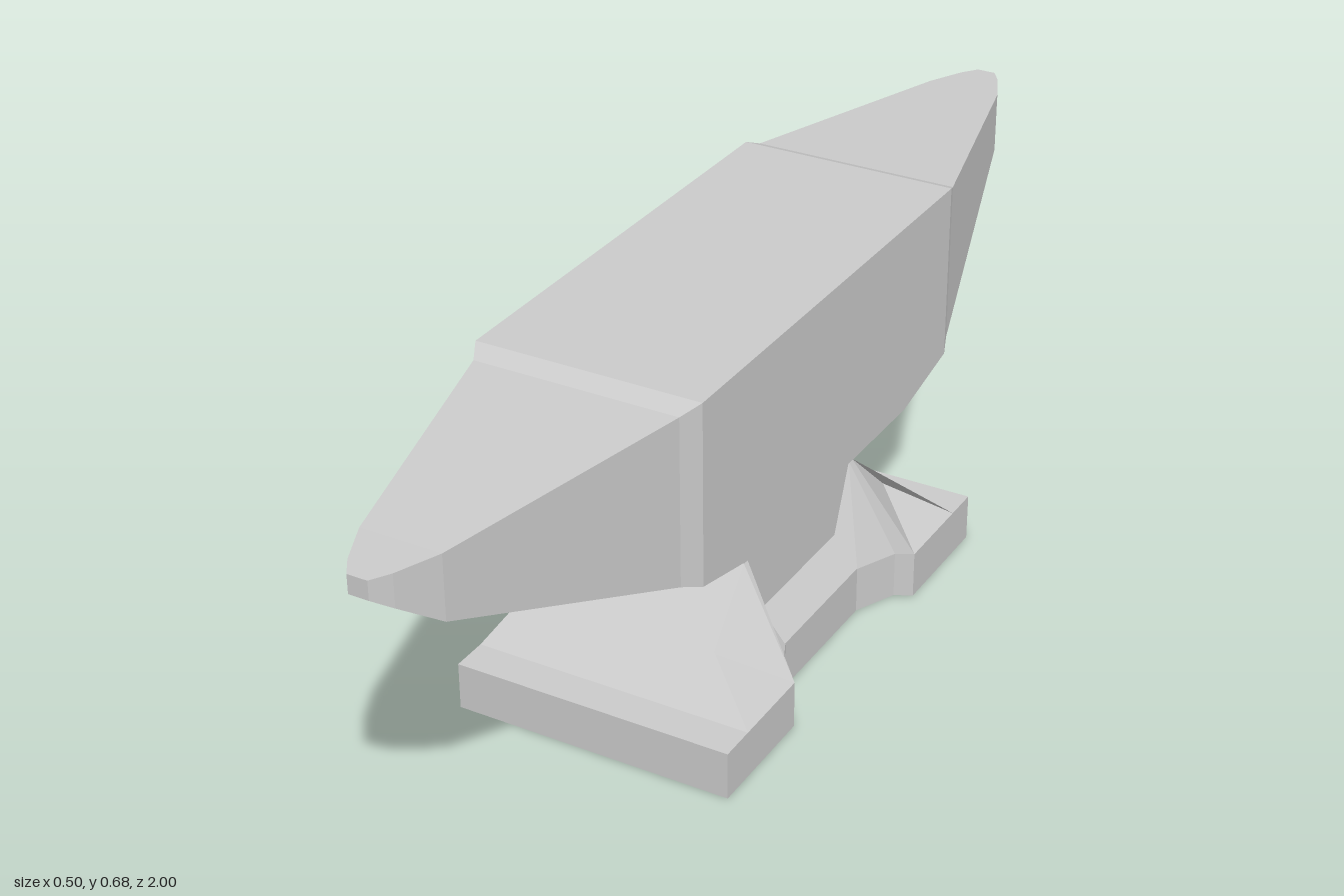
import * as THREE from 'three';

const grey = () => new THREE.MeshStandardMaterial({ color: 0xcccccc, flatShading: true });

// Turn a list of convex polygons (arrays of [x, y, z]) into a faceted geometry
function facets(polygons) {
  const pos = [];
  for (const p of polygons)
    for (let i = 1; i < p.length - 1; i++) pos.push(...p[0], ...p[i], ...p[i + 1]);
  const g = new THREE.BufferGeometry();
  g.setAttribute('position', new THREE.Float32BufferAttribute(pos, 3));
  g.computeVertexNormals();
  return g;
}

// Skin a row of rings, each counter-clockwise seen from the far end, and cap both ends
function loft(rings) {
  const polys = [[...rings[0]].reverse(), rings[rings.length - 1]];
  for (let r = 0; r < rings.length - 1; r++) {
    const a = rings[r], b = rings[r + 1];
    a.forEach((_, i) => {
      const j = (i + 1) % a.length;
      polys.push([a[i], a[j], b[j], b[i]]);
    });
  }
  return facets(polys);
}

export function createModel() {
  const group = new THREE.Group();
  const add = (name, geometry) => {
    const mesh = new THREE.Mesh(geometry, grey());
    mesh.name = name;
    group.add(mesh);
  };

  // Body with a pointed horn at each end: [z, half width, bottom, top]
  const body = [
    [-1, 0.017, 0.615, 0.647], [-0.97, 0.037, 0.592, 0.648], [-0.9, 0.068, 0.54, 0.65],
    [-0.455, 0.186, 0.384, 0.67], [-0.425, 0.197, 0.368, 0.682], [-0.27, 0.197, 0.332, 0.682],
    [0.27, 0.197, 0.332, 0.682], [0.42, 0.197, 0.365, 0.682], [0.455, 0.178, 0.378, 0.67],
    [0.9, 0.068, 0.54, 0.65], [0.97, 0.037, 0.592, 0.648], [1, 0.017, 0.615, 0.647],
  ];
  add('body', loft(body.map(([z, w, lo, hi]) =>
    [[-w, lo, z], [w, lo, z], [w, hi, z], [-w, hi, z]])));

  // Waist between body and base: [y, half width, half depth]
  const waist = [
    [0.08, 0.185, 0.19], [0.086, 0.185, 0.19], [0.14, 0.14, 0.19],
    [0.26, 0.14, 0.19], [0.323, 0.14, 0.255], [0.333, 0.196, 0.27],
  ];
  add('waist', loft(waist.map(([y, w, d]) =>
    [[-w, y, d], [w, y, d], [w, y, -d], [-w, y, -d]])));

  // Base slab, notched along both sides
  const side = [[0.25, 0.44], [0.25, 0.22], [0.22, 0.205], [0.185, 0.13]];
  const half = [...side, ...side.map(([x, z]) => [x, -z]).reverse()];
  const outline = [...half, ...half.map(([x, z]) => [-x, -z])];
  const slab = new THREE.ExtrudeGeometry(
    new THREE.Shape(outline.map(([x, z]) => new THREE.Vector2(x, z))),
    { depth: 0.085, bevelEnabled: false });
  add('baseSlab', slab.rotateX(-Math.PI / 2));

  // One quarter of the flared feet, mirrored to all four corners
  const top = [0.14, 0.26, 0.19], topInner = [0.14, 0.26, 0.178], fold = [0.147, 0.155, 0.301];
  const toe = [0.25, 0.085, 0.375], heel = [0.25, 0.085, 0.22], heelInner = [0.22, 0.085, 0.205];
  const quarter = [
    [[0, 0.26, 0.19], [0, 0.085, 0.375], toe, fold, top],
    [top, fold, heel], [fold, toe, heel],
    [heel, heelInner, topInner, top],
    [heelInner, [0.185, 0.085, 0.13], [0.14, 0.14, 0.13], topInner],
  ];
  for (const sz of [1, -1]) {
    const polys = [];
    for (const sx of [1, -1])
      for (const p of quarter) {
        const q = p.map(([x, y, z]) => [x * sx, y, z * sz]);
        polys.push(sx * sz < 0 ? q.reverse() : q);
      }
    add(sz > 0 ? 'frontFoot' : 'backFoot', facets(polys));
  }
  return group;
}
